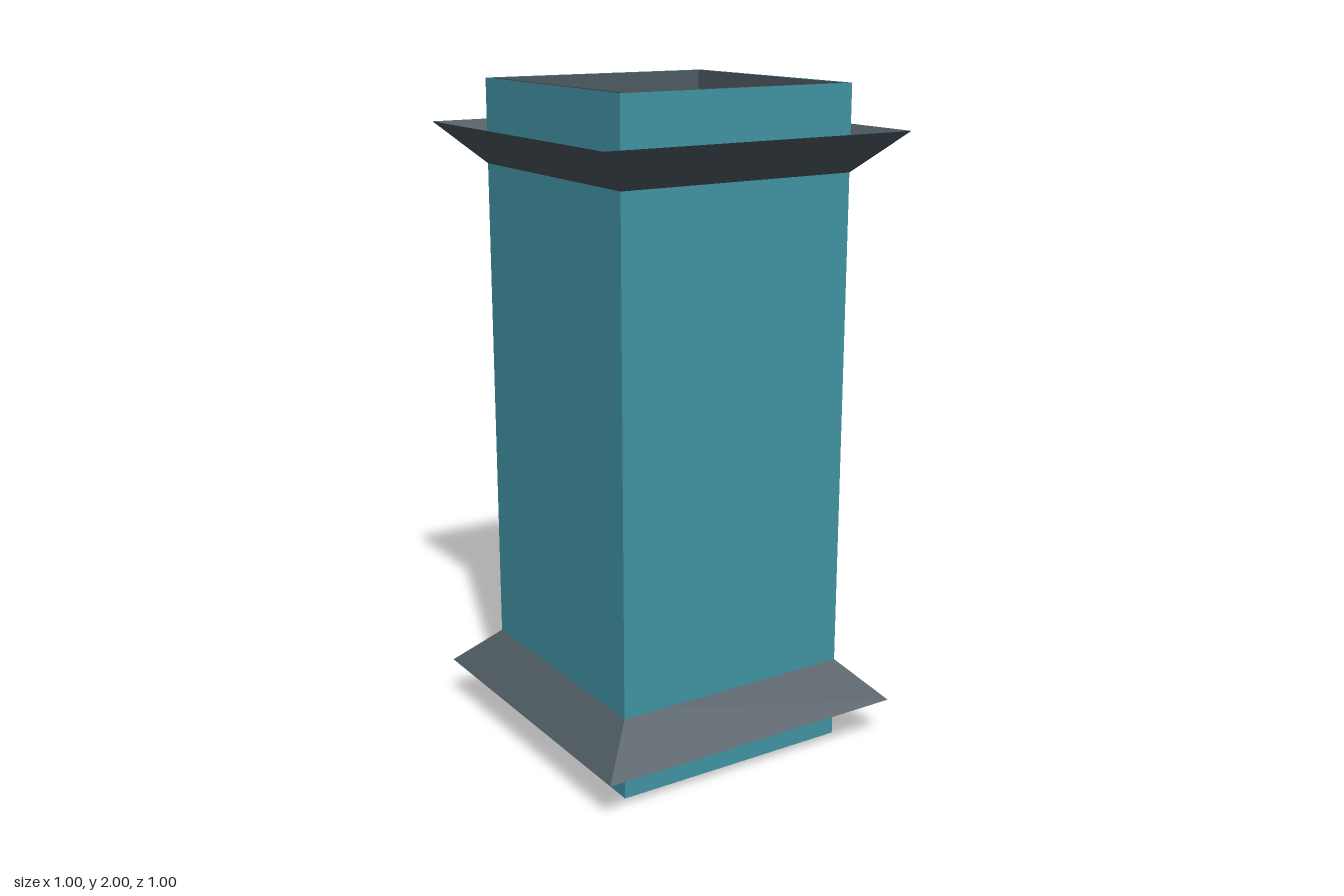
import * as THREE from 'three';

const teal = new THREE.MeshStandardMaterial({ color: 0x4194a4, side: THREE.DoubleSide });
teal.name = 'teal panel';
const grey = new THREE.MeshStandardMaterial({ color: 0x4e5a62, side: THREE.DoubleSide });
grey.name = 'dark grey flashing';

// Sweeps a profile of [half width, height] points around a square, as a thin faceted sheet
function squareSheet(name, profile, material) {
  const points = profile.map(([half, y]) => new THREE.Vector2(half * Math.SQRT2, y));
  const geometry = new THREE.LatheGeometry(points, 4, Math.PI / 4).toNonIndexed();
  geometry.computeVertexNormals();
  const mesh = new THREE.Mesh(geometry, material);
  mesh.name = name;
  return mesh;
}

export function createModel() {
  const group = new THREE.Group();
  group.name = 'squareDuct';

  // Open square shaft
  group.add(squareSheet('shaft', [[0.38, 0], [0.38, 2]], teal));

  // Folded collars: sloped flange outside, joined to a sleeve inside each open end
  const collar = [[0.5, 1.87], [0.362, 1.732], [0.362, 2]];
  group.add(squareSheet('upperCollar', collar, grey));
  group.add(squareSheet('lowerCollar', collar.map(([half, y]) => [half, 2 - y]), grey));

  return group;
}
